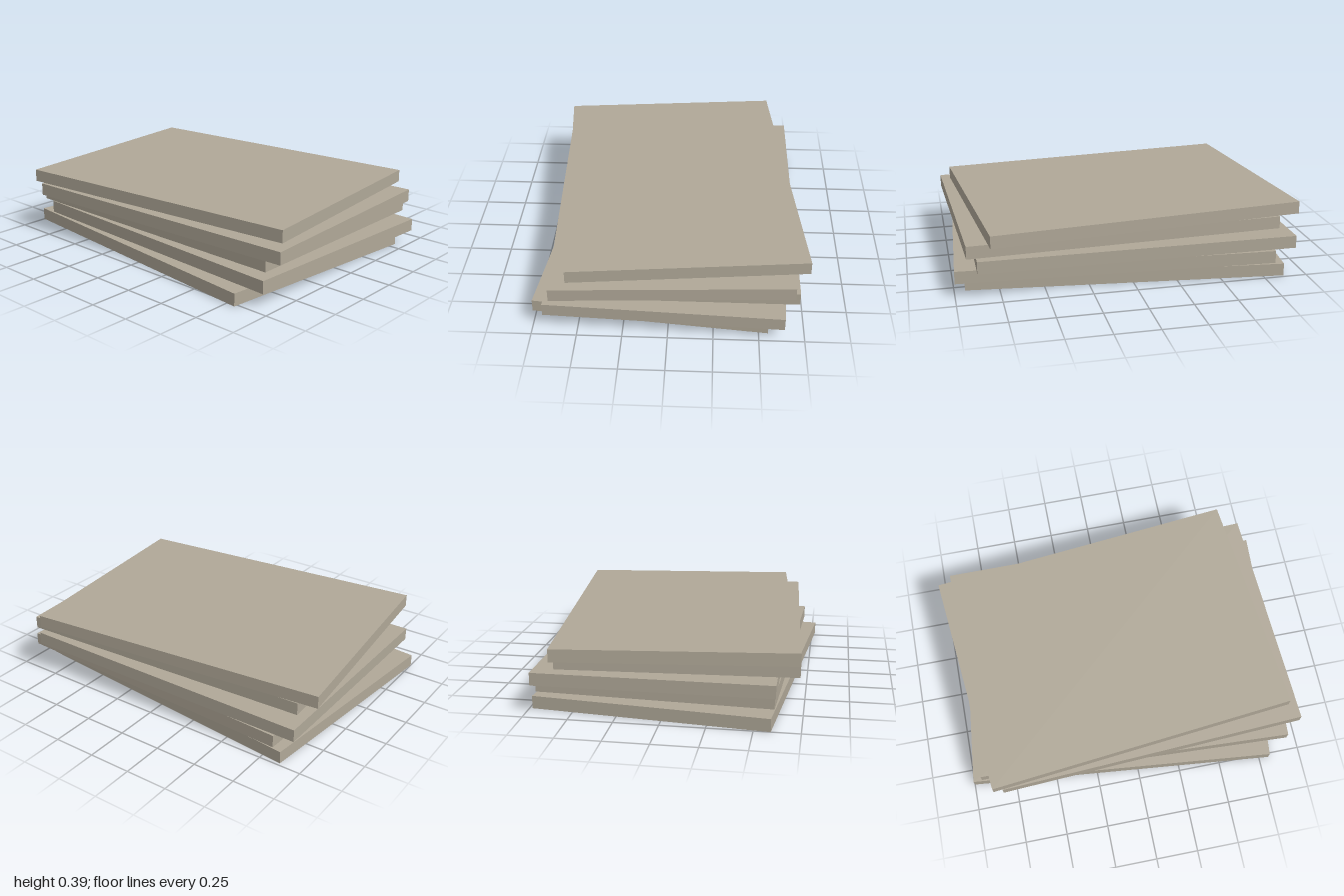
import * as THREE from 'three';

// Stack of five thin rectangular slabs, each slightly shifted and twisted
export function createModel() {
  const group = new THREE.Group();
  group.name = 'slabStack';

  const stone = new THREE.MeshStandardMaterial({ color: 0xb0a898 });
  stone.name = 'warm grey stone';

  const thickness = 0.0727, step = 0.08;
  const slab = new THREE.BoxGeometry(1.817, thickness, 1.332);

  // centre x, centre z, twist about y; bottom to top
  const layers = [
    [-0.03, 0.02, -0.1],
    [0.0575, -0.0175, -0.05],
    [-0.03, -0.055, 0],
    [0.0575, 0.02, 0.05],
    [-0.03, -0.02, 0.1],
  ];
  layers.forEach(([x, z, twist], i) => {
    const mesh = new THREE.Mesh(slab, stone);
    mesh.name = `slab${i + 1}`;
    mesh.position.set(x, thickness / 2 + i * step, z);
    mesh.rotation.y = twist;
    group.add(mesh);
  });
  return group;
}
